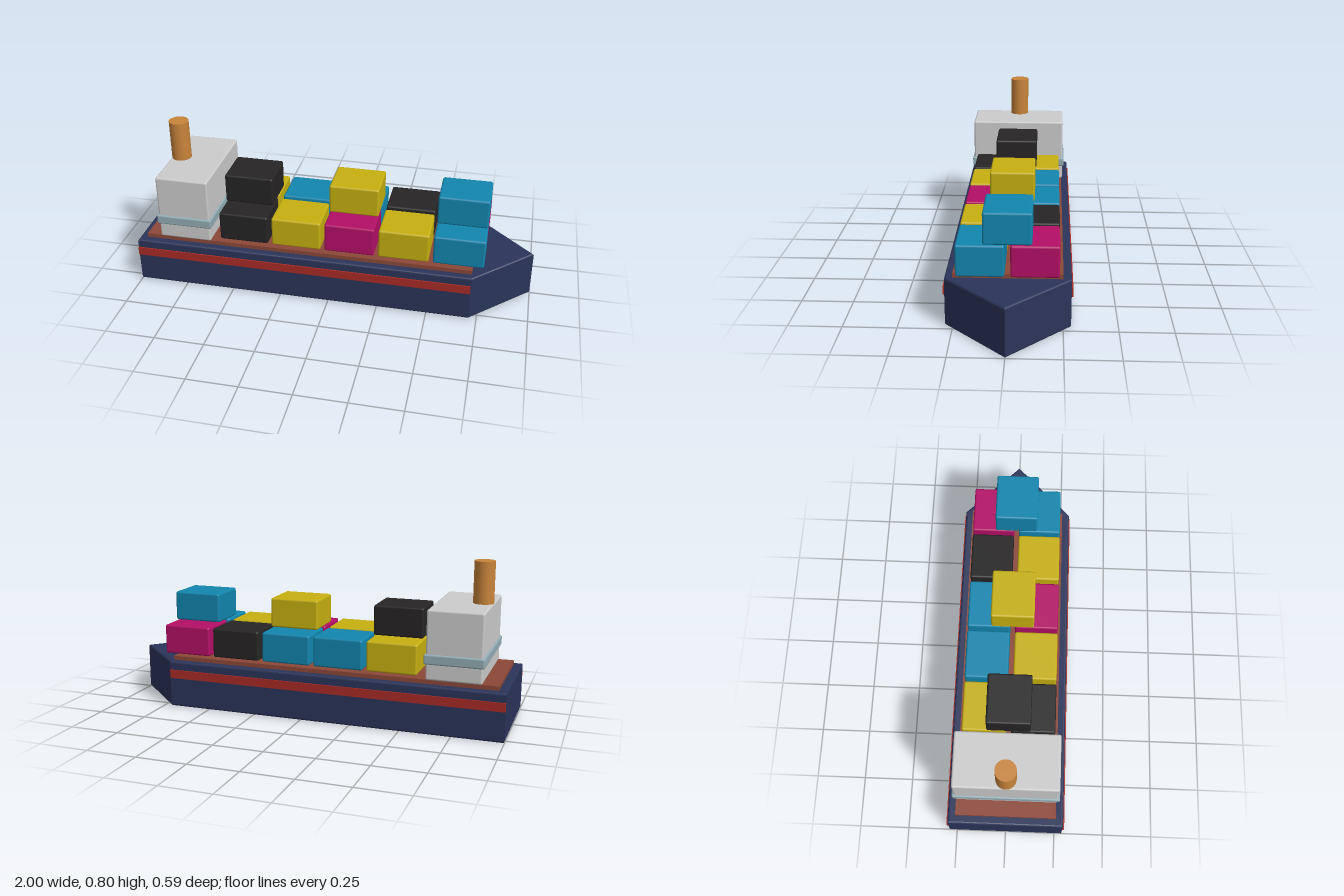
import * as THREE from 'three';
import { RoundedBoxGeometry } from 'three/addons/geometries/RoundedBoxGeometry.js';

const COLORS = {
  navy: 0x2b3459, red: 0xa92b26, deck: 0x8c4838, trim: 0x93adb5, funnel: 0xc8843a,
  black: 0x262425, yellow: 0xc6b010, teal: 0x1286ae, magenta: 0xb30f66,
};

export function createModel() {
  const ship = new THREE.Group();
  ship.name = 'containerShip';

  const materials = { grey: new THREE.MeshStandardMaterial({ color: 0xcccccc }) };
  for (const key in COLORS) materials[key] = new THREE.MeshStandardMaterial({ color: COLORS[key] });

  const add = (name, geometry, color, x = 0, y = 0, z = 0) => {
    const mesh = new THREE.Mesh(geometry, materials[color]);
    mesh.name = name;
    mesh.position.set(x, y, z);
    ship.add(mesh);
  };
  // Box given by its extents along x and y, and its half width along z
  const addBox = (name, color, x0, x1, y0, y1, halfZ, z = 0, radius = 0) => {
    const size = [x1 - x0, y1 - y0, halfZ * 2];
    const geometry = radius ? new RoundedBoxGeometry(...size, 2, radius) : new THREE.BoxGeometry(...size);
    add(name, geometry, color, (x0 + x1) / 2, (y0 + y1) / 2, z);
  };

  // Hull: bevelled outline with a pointed bow
  const b = 0.01, height = 0.237, half = 0.286 - b;
  const outline = new THREE.Shape([
    new THREE.Vector2(-1 + b, -half), new THREE.Vector2(0.708, -half),
    new THREE.Vector2(1 - b * Math.SQRT2, 0),
    new THREE.Vector2(0.708, half), new THREE.Vector2(-1 + b, half),
  ]);
  const hull = new THREE.ExtrudeGeometry(outline, {
    depth: height - 2 * b, bevelEnabled: true, bevelSize: b, bevelThickness: b, bevelSegments: 3,
  });
  hull.rotateX(-Math.PI / 2);
  add('hull', hull, 'navy', 0, b, 0);

  // Side stripes and deck
  for (const side of [1, -1]) {
    addBox(side > 0 ? 'frontStripe' : 'backStripe', 'red', -1, 0.71, 0.151, 0.194, 0.006, side * 0.287);
  }
  addBox('deck', 'deck', -0.96, 0.71, 0.22, 0.258, 0.248);

  // Bridge house, window band and funnel
  addBox('bridgeHouse', 'grey', -0.884, -0.615, 0.256, 0.593, 0.253, 0, 0.01);
  addBox('bridgeBand', 'trim', -0.893, -0.606, 0.333, 0.382, 0.262, 0, 0.008);
  add('funnel', new THREE.CylinderGeometry(0.05, 0.05, 0.206, 32), 'funnel', -0.834, 0.694, 0);

  // Containers: two lower rows and some stacked on top, listed stern to bow
  const rows = [
    { name: 'frontContainer', z: 0.122, y: 0.265, colors: ['black', 'yellow', 'magenta', 'yellow', 'teal'] },
    { name: 'backContainer', z: -0.122, y: 0.265, colors: ['yellow', 'teal', 'teal', 'black', 'magenta'] },
    { name: 'topContainer', z: 0, y: 0.418, colors: ['black', null, 'yellow', null, 'teal'] },
  ];
  for (const { name, z, y, colors } of rows) {
    colors.forEach((color, i) => {
      const x = -0.445 + i * 0.271;
      if (color) addBox(name + (i + 1), color, x - 0.125, x + 0.125, y, y + 0.15, 0.109, z, 0.01);
    });
  }
  return ship;
}
